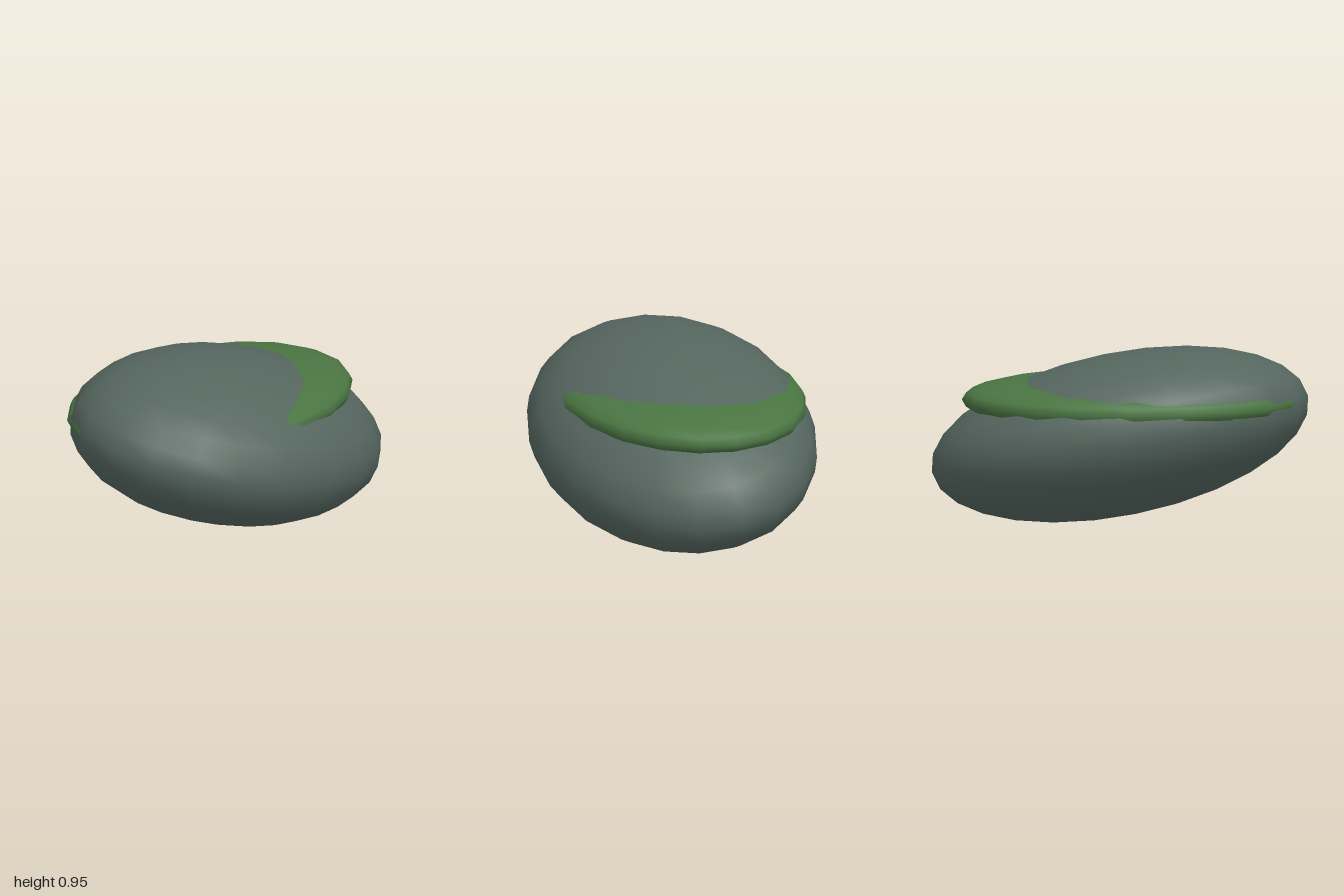
import * as THREE from 'three';

const STONE = 0x55665f;
const MOSS = 0x4a7542;

// Squashed sphere with coarse facets; bluntness < 1 fattens the rim of a thin one
function squashedSphere(rx, ry, rz, bluntness = 1) {
  const geometry = new THREE.SphereGeometry(1, 20, 14);
  const p = geometry.attributes.position;
  for (let i = 0; i < p.count; i++) {
    const y = p.getY(i);
    p.setY(i, Math.sign(y) * Math.abs(y) ** bluntness);
  }
  geometry.scale(rx, ry, rz);
  if (bluntness !== 1) geometry.computeVertexNormals();
  return geometry;
}

function addPart(group, name, geometry, color) {
  const mesh = new THREE.Mesh(geometry, new THREE.MeshStandardMaterial({ color }));
  mesh.name = name;
  group.add(mesh);
  return mesh;
}

export function createModel() {
  const group = new THREE.Group();
  group.name = 'mossyStone';

  // Smooth boulder, leaning down to its left and to the front
  const stone = addPart(group, 'stone', squashedSphere(1.018, 0.432, 0.728), STONE);
  stone.position.y = 0.476;
  stone.rotation.set(0.17, 0, -0.197);

  // Level moss cushion that pokes out of the stone as a crescent
  const moss = addPart(group, 'mossPatch', squashedSphere(0.9, 0.138, 0.645, 0.85), MOSS);
  moss.position.set(-0.06, 0.673, -0.06);

  return group;
}
